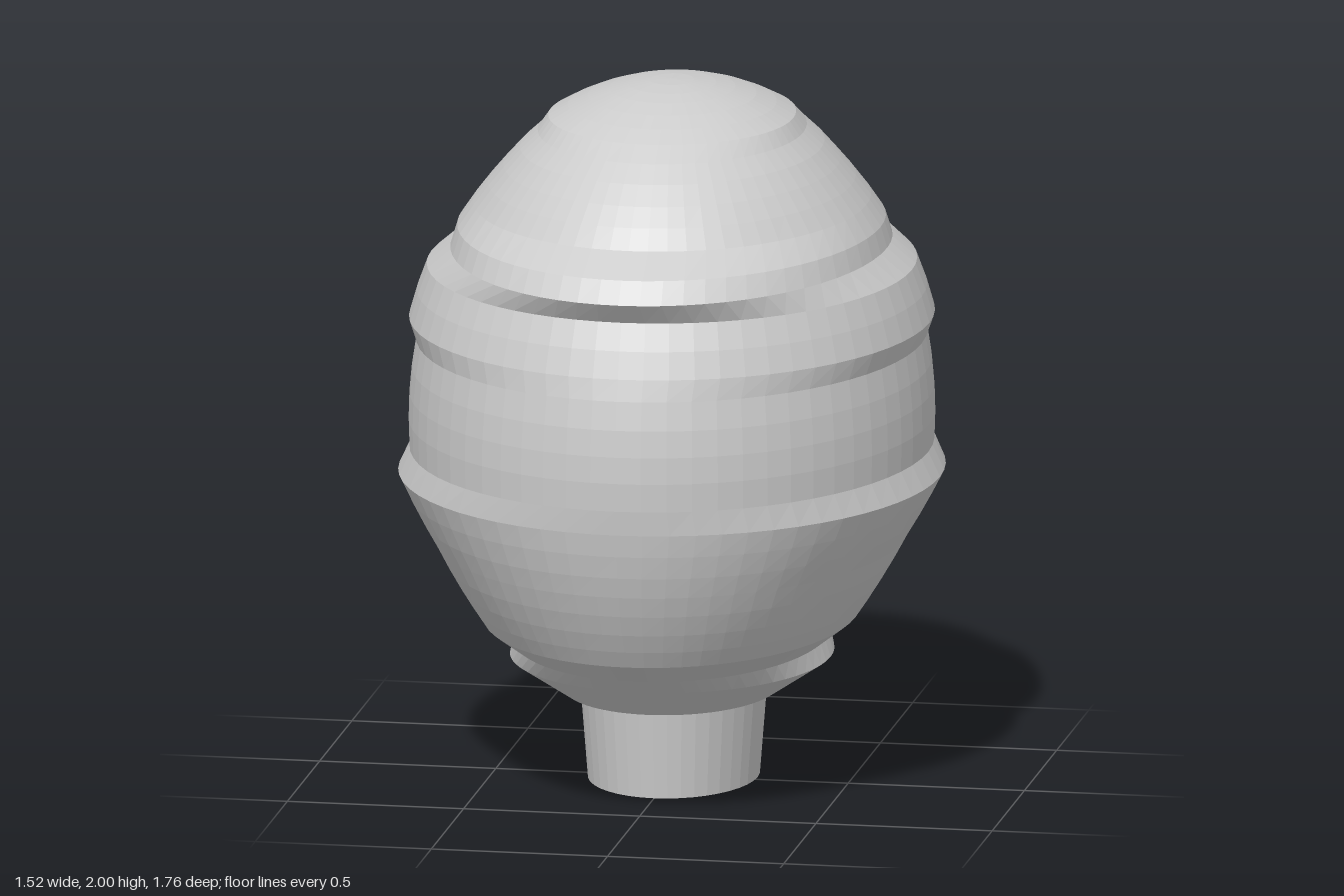
import * as THREE from 'three';

const material = new THREE.MeshStandardMaterial({ color: 0xcccccc, flatShading: true, side: THREE.DoubleSide });

// Linear interpolation in a list of [y, value], y falling
function sample(knots, y) {
  if (y >= knots[0][0]) return knots[0][1];
  for (let i = 1; i < knots.length; i++) {
    const [y0, a] = knots[i - 1], [y1, b] = knots[i];
    if (y >= y1) return THREE.MathUtils.lerp(a, b, (y0 - y) / (y0 - y1));
  }
  return knots[knots.length - 1][1];
}

// Multipliers on a plain ellipsoid: side ridges, brow, crown
const sideFactor = [[1.9, 1.06], [1.86, 0.98], [1.75, 0.975], [1.6, 1], [1.54, 0.98], [1.48, 1.05],
  [1.33, 1.05], [1.27, 1], [0.96, 1], [0.89, 1.055], [0.7, 0.96], [0.475, 0.88]];
const frontFactor = [[1.66, 1], [1.6, 1.09], [1.54, 1.105], [1.48, 1]];
const backFactor = [[1.9, 1.08], [1.86, 1.08], [1.78, 1.01], [1.6, 1]];

// Tapered underside
const chinSide = [[0.475, 0.52], [0.41, 0.435], [0.36, 0.45], [0.26, 0.30]];
const chinPlain = [[0.475, 0.56], [0.41, 0.453], [0.36, 0.40], [0.26, 0.30]];
const chinFront = [[0.475, 0.71], [0.26, 0.37]];
const chinBack = [[0.475, 0.72], [0.26, 0.41]];

function section(y) {
  if (y < 0.475) {
    return { side: sample(chinSide, y), plain: sample(chinPlain, y),
      front: sample(chinFront, y), back: sample(chinBack, y), fade: -0.40 };
  }
  const e = Math.sqrt(Math.max(0, 1 - ((y - 1.04) / 0.96) ** 2));
  return { side: 0.73 * e * sample(sideFactor, y), plain: 0.73 * e,
    front: 0.882 * e * sample(frontFactor, y), back: 0.882 * e * sample(backFactor, y), fade: -0.46 };
}

// Closed loft of rings, top to bottom, with a pole at each end
function loft(rings) {
  const n = rings[0].length, pos = rings.flat(2), index = [];
  for (let r = 0; r < rings.length - 1; r++) {
    for (let i = 0; i < n; i++) {
      const j = (i + 1) % n;
      const a = r * n + i, b = r * n + j, c = a + n, d = b + n;
      if (r > 0) index.push(a, c, b);
      if (r < rings.length - 2) index.push(b, c, d);
    }
  }
  const g = new THREE.BufferGeometry();
  g.setAttribute('position', new THREE.Float32BufferAttribute(pos, 3));
  // The first strip touches the pole, so only its lower triangles are kept
  g.setIndex(index);
  g.computeVertexNormals();
  return g;
}

function headGeometry() {
  const segments = 64;
  const levels = [2, 1.997, 1.988, 1.975, 1.955, 1.93, 1.9, 1.86, 1.815, 1.765, 1.715, 1.66, 1.6, 1.54, 1.48,
    1.405, 1.33, 1.27, 1.19, 1.115, 1.04, 0.96, 0.89, 0.825, 0.76, 0.7, 0.64, 0.58, 0.525, 0.475,
    0.41, 0.36, 0.26];
  const rings = levels.map((y) => {
    const s = section(y), ring = [];
    for (let i = 0; i < segments; i++) {
      const t = (i / segments) * Math.PI * 2;
      const c = Math.cos(t);
      const z = c * (c > 0 ? s.front : s.back);
      // The ridges stop short of the back of the head
      const k = THREE.MathUtils.smoothstep(z, s.fade - 0.06, s.fade);
      ring.push([Math.sin(t) * THREE.MathUtils.lerp(s.plain, s.side, k), y, z]);
    }
    return ring;
  });
  // Flat underside
  rings.push(Array.from({ length: segments }, () => [0, 0.26, -0.02]));
  return loft(rings);
}

export function createModel() {
  const model = new THREE.Group();
  model.name = 'headBust';

  const head = new THREE.Mesh(headGeometry(), material);
  head.name = 'head';
  model.add(head);

  // Oval neck, slightly wider at the top
  const neck = new THREE.Mesh(new THREE.CylinderGeometry(0.26, 0.238, 0.28, 40), material);
  neck.name = 'neck';
  neck.scale.z = 1.3;
  neck.position.set(0, 0.14, -0.03);
  model.add(neck);

  return model;
}
